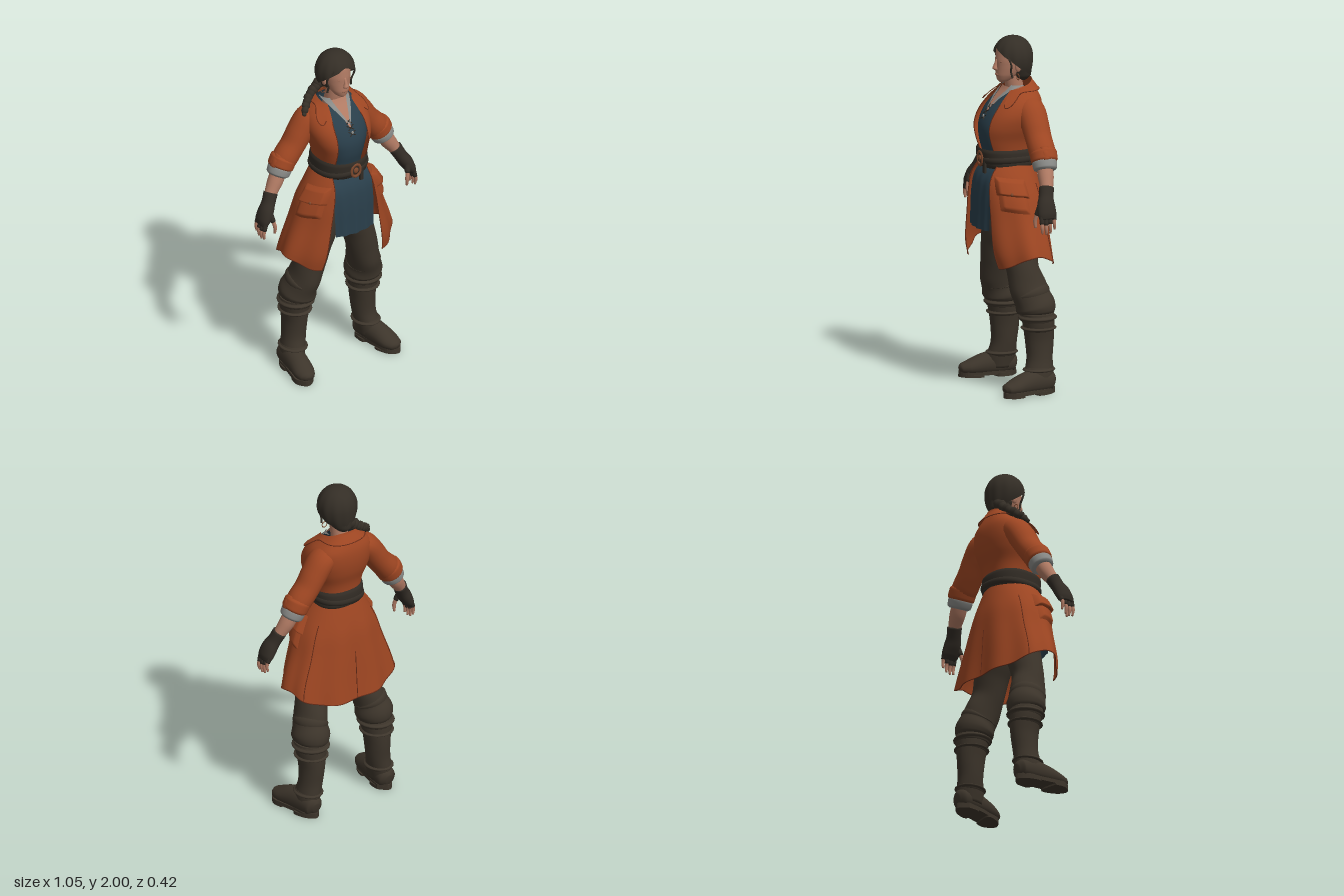
import * as THREE from 'three';
import { mergeVertices } from 'three/addons/utils/BufferGeometryUtils.js';

const V3 = (p) => new THREE.Vector3(p[0], p[1], p[2]);
const lerp = THREE.MathUtils.lerp;
const TAU = Math.PI * 2;

// Smooth sheet from a rule fn(u, v) -> [x, y, z]
function grid(fn, nu, nv) {
  const pos = [], idx = [];
  for (let j = 0; j <= nv; j++) for (let i = 0; i <= nu; i++) pos.push(...fn(i / nu, j / nv));
  for (let j = 0; j < nv; j++) for (let i = 0; i < nu; i++) {
    const a = j * (nu + 1) + i, b = a + nu + 1;
    idx.push(a, a + 1, b, a + 1, b + 1, b);
  }
  let g = new THREE.BufferGeometry();
  g.setAttribute('position', new THREE.Float32BufferAttribute(pos, 3));
  g.setIndex(idx);
  g = mergeVertices(g, 1e-5);
  g.computeVertexNormals();
  return g;
}

// Closed limb through sections [x, y, z, radiusA, radiusB]
function limb(pts, { flat = false, ref = [0, 0, 1], sides = 20, steps = 5, floor = -1 } = {}) {
  const path = new THREE.CatmullRomCurve3(pts.map(V3));
  const size = new THREE.CatmullRomCurve3(pts.map((p) => new THREE.Vector3(p[3], p[4] ?? p[3], 0)));
  const n = (pts.length - 1) * steps, R = V3(ref);
  const rings = Array.from({ length: n + 3 }, (_, j) => {
    const t = THREE.MathUtils.clamp((j - 1) / n, 0, 1);
    const T = flat ? new THREE.Vector3(0, 1, 0) : path.getTangent(t);
    const U = R.clone().cross(T).normalize();
    const s = size.getPoint(t).multiplyScalar(j === 0 || j === n + 2 ? 0 : 1);
    return { c: path.getPoint(t), U, W: T.clone().cross(U), s };
  });
  return grid((u, v) => {
    const r = rings[Math.round(v * (n + 2))], a = (u % 1) * TAU;
    const p = r.c.clone().addScaledVector(r.U, Math.cos(a) * r.s.x).addScaledVector(r.W, Math.sin(a) * r.s.y);
    return [p.x, Math.max(p.y, floor), p.z];
  }, sides, n + 2);
}

// Body surface from rows [y, halfWidth, frontZ, backZ]; angle 0 is the front, a lower power is squarer
function surface(power, rows) {
  const f = new THREE.CubicInterpolant(rows.map((r) => r[0]), rows.flatMap((r) => r.slice(1)), 3, new Float32Array(3));
  const bend = (k) => Math.sign(k) * Math.abs(k) ** power;
  const s = (a, y, off = 0) => {
    const [rx, zf, zb] = f.evaluate(y), cz = lerp(zb, zf, 0.45), c = Math.cos(a);
    return [(rx + off) * bend(Math.sin(a)), y, cz + (c >= 0 ? zf - cz + off : cz - zb + off) * bend(c)];
  };
  // angle at which the front surface reaches a given x
  s.angle = (x, y) => Math.asin(Math.min(1, x / f.evaluate(y)[0]) ** (1 / power));
  return s;
}

const torso = surface(0.85, [[1.26, 0.14, 0.174, -0.105], [1.33, 0.136, 0.178, -0.105], [1.42, 0.15, 0.2, -0.115],
  [1.5, 0.178, 0.2, -0.14], [1.58, 0.19, 0.165, -0.152], [1.65, 0.168, 0.105, -0.148], [1.7, 0.112, 0.06, -0.13], [1.75, 0.068, 0.035, -0.105]]);
const skirt = surface(1, [[0.7, 0.37, 0.195, -0.2], [0.8, 0.355, 0.222, -0.19], [1, 0.285, 0.232, -0.172],
  [1.12, 0.245, 0.234, -0.158], [1.22, 0.195, 0.228, -0.135], [1.3, 0.145, 0.19, -0.112]]);
const hem = (a) => 0.712 + 0.088 * Math.sin(a) ** 4;
const skirtGap = (y) => lerp(0.2, 0.115, (y - 0.72) / 0.56);
const ripple = (a, y) => 0.01 * Math.cos(9 * a) * Math.max(0, (1.2 - y) / 0.5);
function skirtAt(u, v, off = 0) {
  const y = lerp(hem(lerp(0.58, TAU - 0.58, u)), 1.29, v);
  const a0 = skirt.angle(skirtGap(y), y), a = lerp(a0, TAU - a0, u);
  return skirt(a, y, ripple(a, y) + off);
}
// The neck edge is high at the back and drops to the front
const neckEdge = (a) => 1.75 - 0.03 * (1 + Math.cos(a));
function jacketAt(u, v) {
  const y = lerp(1.27, neckEdge(lerp(0.5, TAU - 0.5, u)), v);
  const a0 = torso.angle(y < 1.6 ? 0.1 : lerp(0.1, 0.06, (y - 1.6) / 0.15), y);
  return torso(lerp(a0, TAU - a0, u), y, 0.004);
}
function collarAt(u, v) {
  const a = lerp(0.66, TAU - 0.66, u), d = Math.min(a, TAU - a);
  const low = 1.7 - 0.08 * Math.exp(-(((d - 0.82) / 0.28) ** 2));
  return torso(a, lerp(low, neckEdge(a) + 0.008, v), 0.01 + 0.01 * (1 - v));
}

export function createModel() {
  const model = new THREE.Group();
  const mat = (name, color) => Object.assign(new THREE.MeshStandardMaterial({ color, side: THREE.DoubleSide }), { name });
  const M = {
    coat: mat('rust coat', 0x9e4622), seam: mat('dark rust seam', 0x6b2d18), tunic: mat('blue tunic', 0x293e4a),
    linen: mat('grey linen', 0x8a8b88), skin: mat('skin', 0xb07a63), lips: mat('dark skin', 0x98644f),
    hair: mat('dark hair', 0x342e26), cloth: mat('brown trousers', 0x3d352b), leather: mat('dark leather', 0x322c25), brass: mat('brass', 0x7c482d),
  };
  const add = (name, geo, m, pos, scale) => {
    const mesh = new THREE.Mesh(geo, m);
    mesh.name = name;
    if (pos) mesh.position.set(...pos);
    if (scale) mesh.scale.set(...scale);
    model.add(mesh);
    return mesh;
  };
  const ball = (name, m, pos, scale) => add(name, new THREE.SphereGeometry(1, 18, 12), m, pos, scale);
  const cord = (name, pts, r, m, n = 24) => add(name, new THREE.TubeGeometry(new THREE.CatmullRomCurve3(pts.map(V3)), n, r, 6), m);
  const trace = (fn, n = 16) => Array.from({ length: n + 1 }, (_, i) => fn(i / n));

  // Tunic, open neckline and lacing
  add('tunicBody', grid((u, v) => torso(u * TAU, lerp(1.27, 1.69, v), -0.018), 48, 24), M.tunic);
  add('tunicSkirt', grid((u, v) => {
    const y = lerp(0.915, 1.29, v), w = lerp(0.128, 0.135, v), k = u * 2 - 1;
    const edge = skirt(skirt.angle(w, y), y);
    return [k * w, y + 0.006 * k * k * (1 - v), edge[2] - 0.016 + 0.014 * Math.cos(k * Math.PI / 2) + 0.004 * Math.cos(k * 11) * (1 - v)];
  }, 24, 12), M.tunic);
  const vAt = (x, y, off) => torso(Math.sign(x) * torso.angle(Math.abs(x), y), y, off);
  add('chestSkin', grid((u, v) => vAt((u * 2 - 1) * v * 0.065, lerp(1.575, 1.715, v), -0.012), 12, 12), M.skin);
  for (const s of [1, -1]) {
    add('shirtCollar', grid((u, v) => vAt(s * (v * 0.056 + u * (0.006 + 0.034 * v)), lerp(1.6, 1.728, v), -0.004), 6, 12), M.linen);
    for (const y of [1.54, 1.57, 1.6]) cord('lace', [vAt(-s * 0.018, y, -0.008), vAt(s * 0.022, y + 0.022, -0.008)], 0.003, M.leather, 4);
  }
  ball('pendant', M.linen, vAt(0.001, 1.555, -0.008), [0.008, 0.011, 0.006]);

  // Coat body, skirt, collar and seams
  add('coatJacket', grid(jacketAt, 56, 28), M.coat);
  add('coatSkirt', grid(skirtAt, 90, 24), M.coat);
  add('coatCollar', grid(collarAt, 60, 8), M.coat);
  cord('collarEdge', trace((t) => collarAt(t, 0), 40), 0.0025, M.seam, 80);
  cord('hemEdge', trace((t) => skirtAt(t, 0), 60), 0.003, M.seam, 150);
  for (const [u, top] of [[0, 1], [0.3, 0.8], [0.5, 0.5], [0.7, 0.8], [1, 1]]) cord('skirtSeam', trace((t) => skirtAt(u, t * top, 0.001)), 0.0025, M.seam);
  for (const u of [0, 1]) cord('jacketEdge', trace((t) => jacketAt(u, t * 0.85)), 0.0025, M.seam);

  // Hip pockets with flaps
  for (const s of [1, -1]) {
    const pocket = (name, y0, y1, a0, a1, thick) => add(name, grid((u, v) => {
      const edge = Math.min(1, 6 * Math.min(u, 1 - u), 6 * Math.min(v, 1 - v));
      const a = lerp(a0, a1, u);
      return skirt(s * a, lerp(y0, y1, v) - 0.02 * u, ripple(a, lerp(y0, y1, v)) + edge * thick * (1.4 - 0.6 * v));
    }, 24, 18), M.coat);
    pocket('pocketBag', 1.05, 1.2, 0.85, 1.6, 0.012);
    pocket('pocketFlap', 1.135, 1.235, 0.8, 1.68, 0.024);
    ball('pocketButton', M.brass, skirt(s * 1.2, 1.145, 0.026), [0.009, 0.009, 0.009]);
  }

  // Belt with buckle
  const belt = (name, y0, y1, lift, tilt) => add(name, grid((u, v) => {
    const a = (u % 1) * TAU;
    return torso(a, lerp(y0, y1, v) + tilt * Math.sin(a), 0.004 + lift * Math.sin(Math.PI * v) ** 0.4);
  }, 56, 10), M.leather);
  belt('wideBelt', 1.268, 1.374, 0.014, 0);
  belt('narrowBelt', 1.285, 1.33, 0.02, 0.012);
  add('buckleRing', new THREE.TorusGeometry(0.03, 0.008, 8, 24), M.brass, [0.008, 1.317, 0.196], [1, 1.25, 0.8]);
  ball('buckleBoss', M.brass, [0.008, 1.317, 0.195], [0.016, 0.02, 0.01]);
  add('beltTail', new THREE.BoxGeometry(0.022, 0.07, 0.012), M.leather, [0.05, 1.275, 0.188]);

  // Arms: sleeve, rolled cuffs, forearm, fingerless glove, fingers
  for (const s of [1, -1]) {
    const part = (name, m, pts, opt) => add(name, limb(pts.map(([x, ...r]) => [x * s, ...r]), opt), m);
    part('sleeve', M.coat, [[0.085, 1.63, -0.04, 0.055, 0.07], [0.15, 1.59, -0.05, 0.073, 0.085], [0.202, 1.525, -0.052, 0.073, 0.08],
      [0.25, 1.455, -0.052, 0.069, 0.076], [0.3, 1.395, -0.05, 0.073, 0.075], [0.34, 1.34, -0.047, 0.066, 0.065]]);
    part('rolledCuff', M.coat, [[0.308, 1.4, -0.05, 0.066], [0.316, 1.385, -0.05, 0.077], [0.336, 1.348, -0.048, 0.076], [0.343, 1.335, -0.047, 0.064]]);
    part('linenCuff', M.linen, [[0.333, 1.352, -0.047, 0.062], [0.342, 1.335, -0.046, 0.07], [0.358, 1.305, -0.044, 0.066], [0.363, 1.295, -0.043, 0.052]]);
    part('cuffTab', M.coat, [[0.355, 1.43, -0.04, 0.012, 0.024], [0.377, 1.4, -0.04, 0.016, 0.026], [0.395, 1.365, -0.04, 0.013, 0.022]]);
    part('forearm', M.skin, [[0.345, 1.33, -0.043, 0.046], [0.38, 1.268, -0.036, 0.045], [0.415, 1.215, -0.025, 0.037], [0.45, 1.16, -0.01, 0.031]]);
    part('glove', M.leather, [[0.421, 1.212, -0.022, 0.04, 0.042], [0.445, 1.165, -0.008, 0.037, 0.042], [0.472, 1.12, 0.004, 0.039, 0.052],
      [0.495, 1.075, 0.008, 0.032, 0.055], [0.506, 1.048, 0.008, 0.02, 0.046]]);
    for (let i = 0; i < 4; i++) {
      const z = -0.03 + i * 0.025, d = i === 0 ? 0.02 : i === 2 ? -0.006 : 0;
      part('gloveFinger', M.leather, [[0.5, 1.07, z, 0.015], [0.511, 1.025 + d, z + 0.002, 0.013]], { sides: 10 });
      part('finger', M.skin, [[0.509, 1.035 + d, z + 0.002, 0.011], [0.515, 1.005 + d, z + 0.003, 0.01], [0.511, 0.972 + d, z, 0.006]], { sides: 10 });
    }
    part('gloveThumb', M.leather, [[0.468, 1.115, 0.038, 0.02], [0.455, 1.07, 0.054, 0.015]], { sides: 10 });
    part('thumb', M.skin, [[0.457, 1.078, 0.052, 0.012], [0.448, 1.035, 0.061, 0.011], [0.448, 0.995, 0.058, 0.007]], { sides: 10 });

    // Legs: baggy trousers, tall boots, feet
    part('trouserLeg', M.cloth, [[0.07, 1.05, 0, 0.07, 0.11], [0.112, 0.9, 0.01, 0.1, 0.11], [0.145, 0.8, 0.012, 0.092, 0.1], [0.172, 0.7, 0.01, 0.09, 0.092],
      [0.196, 0.6, -0.012, 0.087, 0.108], [0.213, 0.54, -0.03, 0.094, 0.107], [0.222, 0.49, -0.046, 0.108, 0.113], [0.226, 0.46, -0.05, 0.1, 0.107], [0.228, 0.44, -0.05, 0.07, 0.08]]);
    part('kneeFold', M.cloth, [[0.2, 0.58, -0.02, 0.08, 0.095], [0.208, 0.562, -0.026, 0.096, 0.109], [0.214, 0.54, -0.03, 0.09, 0.1]]);
    part('bootShaft', M.cloth, [[0.228, 0.46, -0.052, 0.092, 0.098], [0.23, 0.4, -0.06, 0.087, 0.091], [0.23, 0.3, -0.066, 0.071, 0.083],
      [0.237, 0.2, -0.064, 0.067, 0.075], [0.25, 0.12, -0.055, 0.066, 0.084], [0.258, 0.05, -0.05, 0.06, 0.08]], { flat: true });
    const band = (name, x, y, z, r, rz, h) => part(name, M.cloth, [[x, y + h, z, r - 0.004, rz - 0.004], [x, y + h * 0.5, z, r, rz], [x, y - h * 0.5, z, r, rz], [x, y - h, z, r - 0.004, rz - 0.004]], { flat: true });
    band('bootCuff', 0.228, 0.43, -0.055, 0.094, 0.099, 0.02);
    band('bootStrap', 0.23, 0.37, -0.061, 0.084, 0.09, 0.014);
    band('ankleStrap', 0.247, 0.135, -0.056, 0.068, 0.082, 0.016);
    part('bootFoot', M.cloth, [[0.256, 0.06, -0.145, 0.02, 0.03], [0.256, 0.065, -0.12, 0.056, 0.06], [0.264, 0.07, -0.04, 0.061, 0.075], [0.277, 0.064, 0.05, 0.062, 0.062],
      [0.29, 0.052, 0.12, 0.06, 0.044], [0.3, 0.045, 0.165, 0.042, 0.03], [0.304, 0.04, 0.18, 0.015, 0.014]], { ref: [0, 1, 0], floor: 0.02 });
    const outline = [[0.203, -0.1], [0.255, -0.148], [0.309, -0.1], [0.322, -0.02], [0.342, 0.07], [0.35, 0.13], [0.308, 0.183], [0.25, 0.15], [0.227, 0.06], [0.213, -0.02]];
    const slab = (pts, top, depth) => new THREE.ExtrudeGeometry(new THREE.Shape(new THREE.SplineCurve([...pts, pts[0]].map(([x, z]) => new THREE.Vector2(x * s, z))).getPoints(50)),
      { depth, bevelEnabled: false }).rotateX(Math.PI / 2).translate(0, top, 0);
    add('bootSole', slab(outline, 0.032, 0.022), M.cloth);
    add('bootHeel', slab([...outline.slice(0, 4), outline[9]], 0.02, 0.02), M.cloth);
    add('soleTread', slab(outline.slice(4, 9), 0.012, 0.012), M.cloth);
  }
  ball('trouserSeat', M.cloth, [0, 1.0, 0], [0.135, 0.15, 0.125]);

  // Neck, head and face
  add('neck', limb([[0, 1.63, -0.04, 0.06, 0.055], [0, 1.7, -0.02, 0.049, 0.052], [0.004, 1.8, -0.005, 0.046, 0.05]], { flat: true }), M.skin);
  add('head', limb([[0.005, 1.742, 0.055, 0.015, 0.02], [0.005, 1.755, 0.045, 0.036, 0.042], [0.005, 1.785, 0.03, 0.056, 0.064], [0.005, 1.83, 0.014, 0.07, 0.08],
    [0.005, 1.88, 0.004, 0.077, 0.09], [0.005, 1.93, 0, 0.076, 0.087], [0.005, 1.97, -0.01, 0.05, 0.06]], { flat: true, sides: 28 }), M.skin);
  add('nose', limb([[0.005, 1.875, 0.088, 0.008, 0.008], [0.005, 1.84, 0.1, 0.011, 0.011], [0.005, 1.822, 0.103, 0.017, 0.014], [0.005, 1.812, 0.096, 0.012, 0.01]], { flat: true, sides: 12 }), M.skin);
  ball('lips', M.lips, [0.005, 1.787, 0.09], [0.02, 0.006, 0.009]);
  for (const s of [1, -1]) {
    ball('eyelid', M.lips, [0.005 + s * 0.031, 1.862, 0.082], [0.014, 0.005, 0.004]);
    ball('ear', M.skin, [0.005 + s * 0.076, 1.835, -0.005], [0.012, 0.03, 0.018]);
    add('earring', new THREE.TorusGeometry(0.017, 0.0025, 6, 20), M.brass, [0.005 + s * 0.084, 1.78, 0]);
    // Loose locks beside the face
    cord('hairLock', [[0.006 + s * 0.062, 1.925, 0.072], [0.006 + s * 0.09, 1.88, 0.054], [0.006 + s * 0.09, 1.845, 0.043], [0.006 + s * 0.077, 1.815, 0.04], [0.006 + s * 0.08, 1.775, 0.032]], 0.006, M.hair);
  }

  // Swept-back hair, tucked in at the sides of the nape, and braid over the right shoulder
  add('hair', grid((u, v) => {
    const a = (u % 1) * TAU, k = (1 - Math.cos(a)) / 2, th = (1 - v) * (1.08 + 1.2 * k ** 0.6);
    const c = Math.cos(th), low = c < 0, sn = Math.sin(th), wave = 1 + 0.02 * Math.sin(a * 11) * sn * (1 - v);
    return [0.006 + 0.113 * wave * sn ** (low ? 1.6 : 0.9) * Math.sin(a), 1.88 + (low ? 0.17 : 0.12) * c,
      -0.008 + 0.113 * wave * sn ** (low ? 0.5 : 0.9) * Math.cos(a)];
  }, 66, 24), M.hair);
  add('nape', limb([[0.004, 1.745, -0.055, 0.03, 0.035], [0.005, 1.77, -0.05, 0.056, 0.064], [0.006, 1.82, -0.042, 0.074, 0.074]], { flat: true }), M.hair);
  const braid = new THREE.CatmullRomCurve3([[-0.03, 1.79, -0.085], [-0.08, 1.75, -0.085], [-0.13, 1.715, -0.07], [-0.168, 1.685, -0.042], [-0.198, 1.65, -0.015]].map(V3));
  for (let i = 0; i <= 9; i++) {
    const r = i === 9 ? 0.014 : 0.038 - 0.0016 * i, knot = ball('braidKnot', M.hair, braid.getPointAt(i / 9).toArray(), [r * 0.8, r, r * 0.8]);
    knot.rotation.z = i % 2 ? 0.9 : -0.5;
  }
  return model;
}
